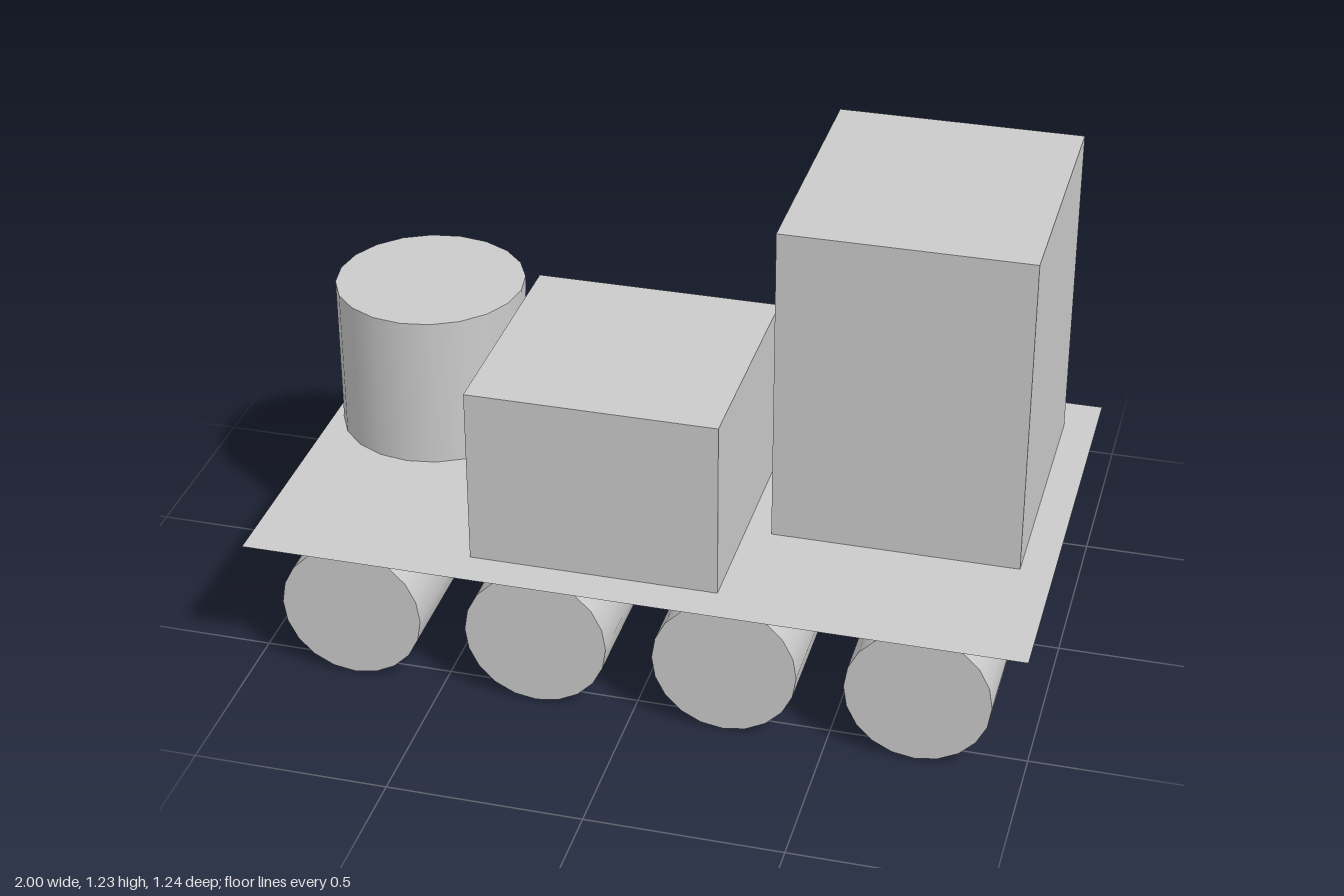
import * as THREE from 'three';

export function createModel() {
  const model = new THREE.Group();
  model.name = 'loadedRollerPlatform';
  const grey = new THREE.MeshStandardMaterial({ color: 0xcccccc });
  const sheet = new THREE.MeshStandardMaterial({ color: 0xcccccc, side: THREE.DoubleSide });
  const DECK_Y = 0.378;

  const add = (name, geometry, x, y, z, material = grey) => {
    const mesh = new THREE.Mesh(geometry, material);
    mesh.name = name;
    mesh.position.set(x, y, z);
    model.add(mesh);
    return mesh;
  };
  // Places a load so that its base rests on the deck
  const addLoad = (name, geometry, height, x, z) => add(name, geometry, x, DECK_Y + height / 2, z);

  // Paper-thin deck
  add('deck', new THREE.PlaneGeometry(2, 1.235).rotateX(-Math.PI / 2), 0, DECK_Y, 0, sheet);

  // Four rollers lying front to back under the deck
  const rollerGeometry = new THREE.CylinderGeometry(0.185, 0.185, 1.116, 20).rotateX(Math.PI / 2);
  for (let i = 0; i < 4; i++) {
    add(`roller${i + 1}`, rollerGeometry, -0.74 + i * 0.489, 0.187, 0.002);
  }

  // Loads standing on the deck
  addLoad('drum', new THREE.CylinderGeometry(0.25, 0.25, 0.414, 20), 0.414, -0.734, -0.129);
  addLoad('lowCrate', new THREE.BoxGeometry(0.64, 0.472, 0.636), 0.472, -0.109, 0.199);
  addLoad('tallCrate', new THREE.BoxGeometry(0.637, 0.857, 0.724), 0.857, 0.596, -0.139);

  return model;
}
